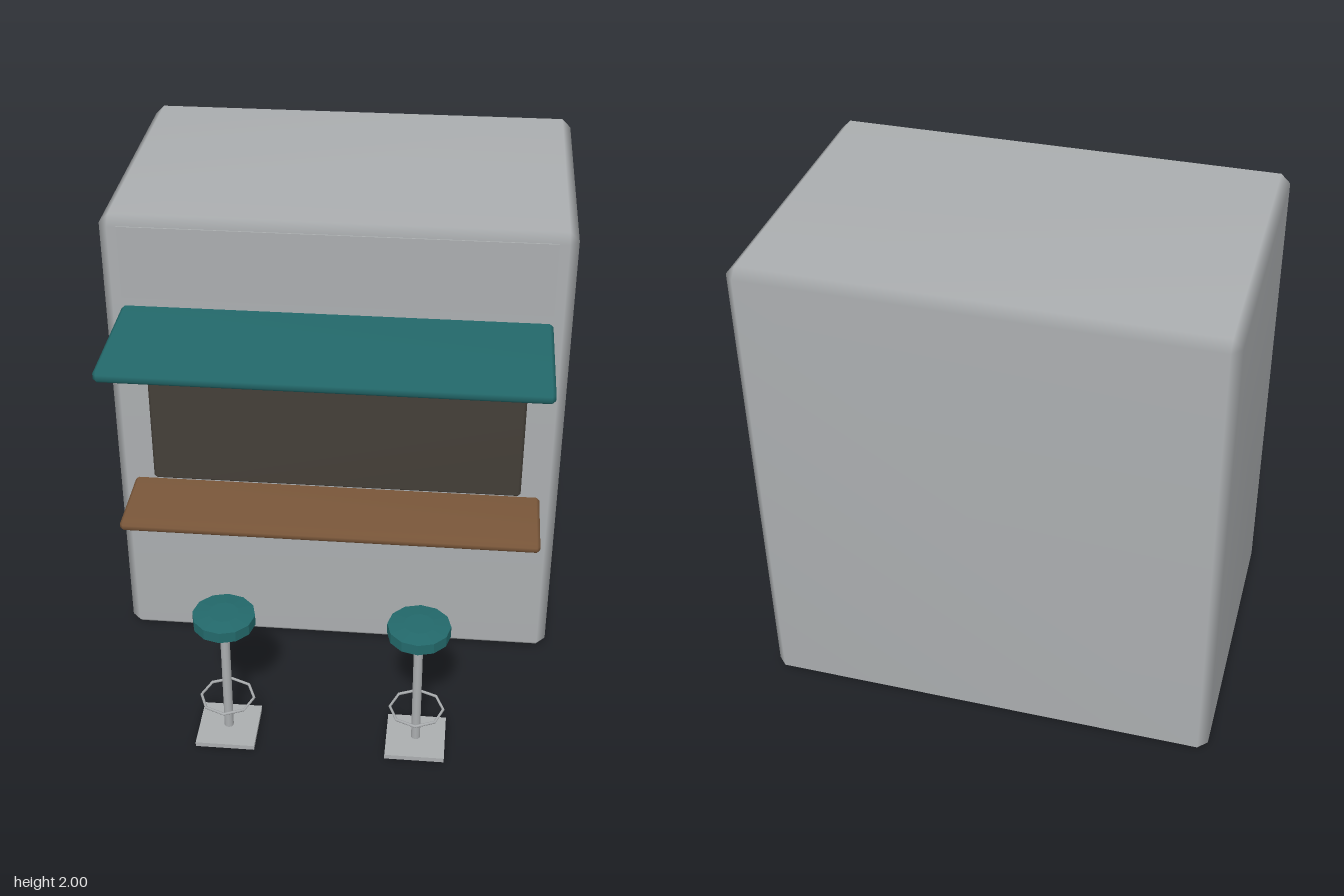
import * as THREE from 'three';
import { mergeVertices } from 'three/addons/utils/BufferGeometryUtils.js';
import { ConvexGeometry } from 'three/addons/geometries/ConvexGeometry.js';

function material(name, color) {
  const m = new THREE.MeshStandardMaterial({ color });
  m.name = name;
  return m;
}

// Box with single-cut bevelled edges and soft normals, given by its extents
function bevelBox(x0, x1, y0, y1, z0, z1, bevel) {
  const half = [(x1 - x0) / 2, (y1 - y0) / 2, (z1 - z0) / 2];
  const points = [];
  for (const sx of [-1, 1]) for (const sy of [-1, 1]) for (const sz of [-1, 1]) {
    for (let axis = 0; axis < 3; axis++) {
      const p = half.map((h, i) => (i === axis ? h : h - bevel));
      points.push(new THREE.Vector3(sx * p[0], sy * p[1], sz * p[2]));
    }
  }
  let geometry = new ConvexGeometry(points);
  geometry.deleteAttribute('normal');
  geometry = mergeVertices(geometry, 1e-5);
  geometry.computeVertexNormals();
  return geometry.translate((x0 + x1) / 2, (y0 + y1) / 2, (z0 + z1) / 2);
}

function faceted(geometry) {
  const g = geometry.toNonIndexed();
  g.computeVertexNormals();
  return g;
}

export function createModel() {
  const model = new THREE.Group();
  model.name = 'kiosk';
  const grey = material('grey metal', 0xabaeb0);
  const teal = material('teal', 0x23696b);
  const brown = material('brown wood', 0x7a573a);
  const dark = material('dark opening', 0x443f38);

  const add = (parent, name, geometry, mat) => {
    const mesh = new THREE.Mesh(geometry, mat);
    mesh.name = name;
    parent.add(mesh);
    return mesh;
  };

  // Booth
  const front = 0.245;
  add(model, 'body', bevelBox(-0.92, 0.92, 0, 2, -0.985, front, 0.037), grey);
  add(model, 'signPanel', new THREE.BoxGeometry(1.69, 0.305, 0.006).translate(0, 1.813, front), grey);
  add(model, 'servingOpening', bevelBox(-0.77, 0.77, 0.81, 1.54, 0.2, 0.257, 0.015), dark);
  add(model, 'awning', bevelBox(-0.845, 0.845, 1.583, 1.633, front, 0.783, 0.014), teal);
  add(model, 'counter', bevelBox(-0.845, 0.845, 0.775, 0.818, front, 0.592, 0.013), brown);

  // Stools
  const seatProfile = [[0, 0.557], [0.125, 0.557], [0.125, 0.603], [0.06, 0.61], [0, 0.61]]
    .map(([r, y]) => new THREE.Vector2(r, y));
  for (const side of [-1, 1]) {
    const stool = new THREE.Group();
    stool.name = side < 0 ? 'rightStool' : 'leftStool';
    stool.position.set(side * 0.385, 0, 0.86);
    add(stool, 'base', new THREE.BoxGeometry(0.24, 0.02, 0.24).translate(0, 0.01, 0), grey);
    add(stool, 'post', new THREE.CylinderGeometry(0.019, 0.019, 0.545, 10).translate(0, 0.2875, 0), grey);
    add(stool, 'footRing', new THREE.TorusGeometry(0.108, 0.006, 6, 8).rotateX(Math.PI / 2).translate(0, 0.173, 0), grey);
    add(stool, 'seat', faceted(new THREE.LatheGeometry(seatProfile, 12)), teal);
    model.add(stool);
  }
  return model;
}
